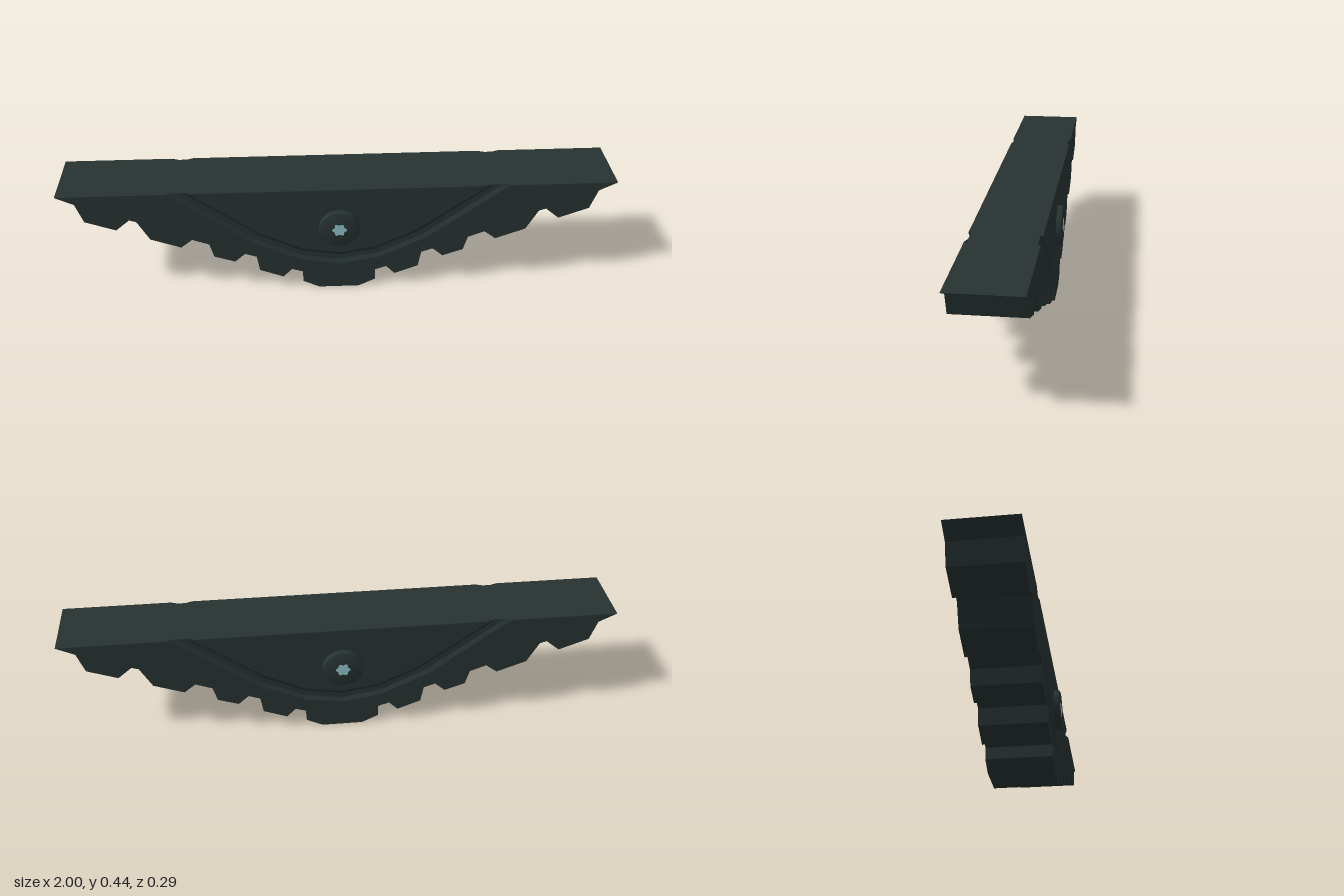
import * as THREE from 'three';
import { toCreasedNormals } from 'three/addons/utils/BufferGeometryUtils.js';

const TOP = 0.435, CORE = 0.112, FACE = 0.121;

// Toothed lower edge, from the left tip to the middle
const TEETH = [
  [-1, TOP], [-0.935, 0.403], [-0.91, 0.328], [-0.802, 0.288], [-0.752, 0.33], [-0.727, 0.322],
  [-0.685, 0.243], [-0.577, 0.203], [-0.535, 0.236], [-0.475, 0.213], [-0.46, 0.157], [-0.385, 0.131],
  [-0.347, 0.165], [-0.305, 0.15], [-0.295, 0.088], [-0.209, 0.054], [-0.176, 0.088], [-0.135, 0.075],
  [-0.135, 0.03], [-0.075, 0],
];
// Groove lines, from the left top edge to the middle
const GROOVE_INNER = [[-0.53, TOP], [-0.28, 0.252], [-0.135, 0.182], [0, 0.16]];
const GROOVE_OUTER = [[-0.61, TOP], [-0.32, 0.216], [-0.145, 0.132], [0, 0.107]];

// Complete a half line by mirroring it across x = 0
function mirrored(half) {
  const other = half.filter(([x]) => x !== 0).map(([x, y]) => [-x, y]).reverse();
  return [...half, ...other];
}

// Line partway between the two groove edges
function between(t) {
  return mirrored(GROOVE_INNER.map(([x, y], i) => [
    x + (GROOVE_OUTER[i][0] - x) * t, y + (GROOVE_OUTER[i][1] - y) * t,
  ]));
}

function slab(points, z, depth) {
  const shape = new THREE.Shape(points.map(([x, y]) => new THREE.Vector2(x, y)));
  return new THREE.ExtrudeGeometry(shape, { depth, bevelEnabled: false }).translate(0, 0, z);
}

// Sloping wall joining two lines at different depths
function strip(a, za, b, zb) {
  const pos = [];
  for (let i = 0; i < a.length - 1; i++) {
    const p = [...a[i], za], q = [...a[i + 1], za], r = [...b[i + 1], zb], s = [...b[i], zb];
    pos.push(...p, ...s, ...r, ...p, ...r, ...q);
  }
  const geo = new THREE.BufferGeometry();
  geo.setAttribute('position', new THREE.Float32BufferAttribute(pos, 3));
  geo.computeVertexNormals();
  return geo;
}

function add(group, name, geo, material) {
  const mesh = new THREE.Mesh(geo, material);
  mesh.name = name;
  group.add(mesh);
  return mesh;
}

export function createModel() {
  const model = new THREE.Group();
  model.name = 'toothedSegment';
  const dark = new THREE.MeshStandardMaterial({ name: 'darkRubber', color: 0x263231, side: THREE.DoubleSide });
  const teal = new THREE.MeshStandardMaterial({ name: 'paleTeal', color: 0x8cc0c8 });

  const outline = mirrored(TEETH);
  add(model, 'core', slab(outline, -CORE, CORE * 2), dark);

  // The same raised plates, groove and bolt on both faces
  for (const [side, turn] of [['front', 0], ['back', Math.PI]]) {
    const face = new THREE.Group();
    face.name = side + 'Face';
    face.rotation.y = turn;
    model.add(face);

    const rim = [...outline, ...between(1).reverse()];
    add(face, 'toothedRim', slab(rim, CORE, FACE - CORE), dark);
    add(face, 'innerPanel', slab(between(0), CORE, FACE - CORE), dark);
    add(face, 'grooveInnerWall', strip(between(0), FACE, between(0.3), CORE + 0.0005), dark);
    add(face, 'grooveOuterWall', strip(between(0.7), CORE + 0.0005, between(1), FACE), dark);

    // Round bolt head with a softened edge
    const profile = [[0.074, 0.11], [0.074, 0.136], [0.072, 0.141], [0.067, 0.143], [0, 0.143]]
      .map(([r, z]) => new THREE.Vector2(r, z));
    const head = toCreasedNormals(new THREE.LatheGeometry(profile, 32), 0.6).rotateX(Math.PI / 2);
    add(face, 'boltHead', head, dark).position.y = 0.276;

    // Six-lobed socket
    const lobes = [];
    for (let i = 0; i < 48; i++) {
      const a = (i / 48) * Math.PI * 2, r = 0.0235 + 0.0035 * Math.cos(6 * a);
      lobes.push([r * Math.cos(a), r * Math.sin(a)]);
    }
    add(face, 'boltSocket', slab(lobes, 0.1425, 0.0015), teal).position.y = 0.276;
  }
  return model;
}
